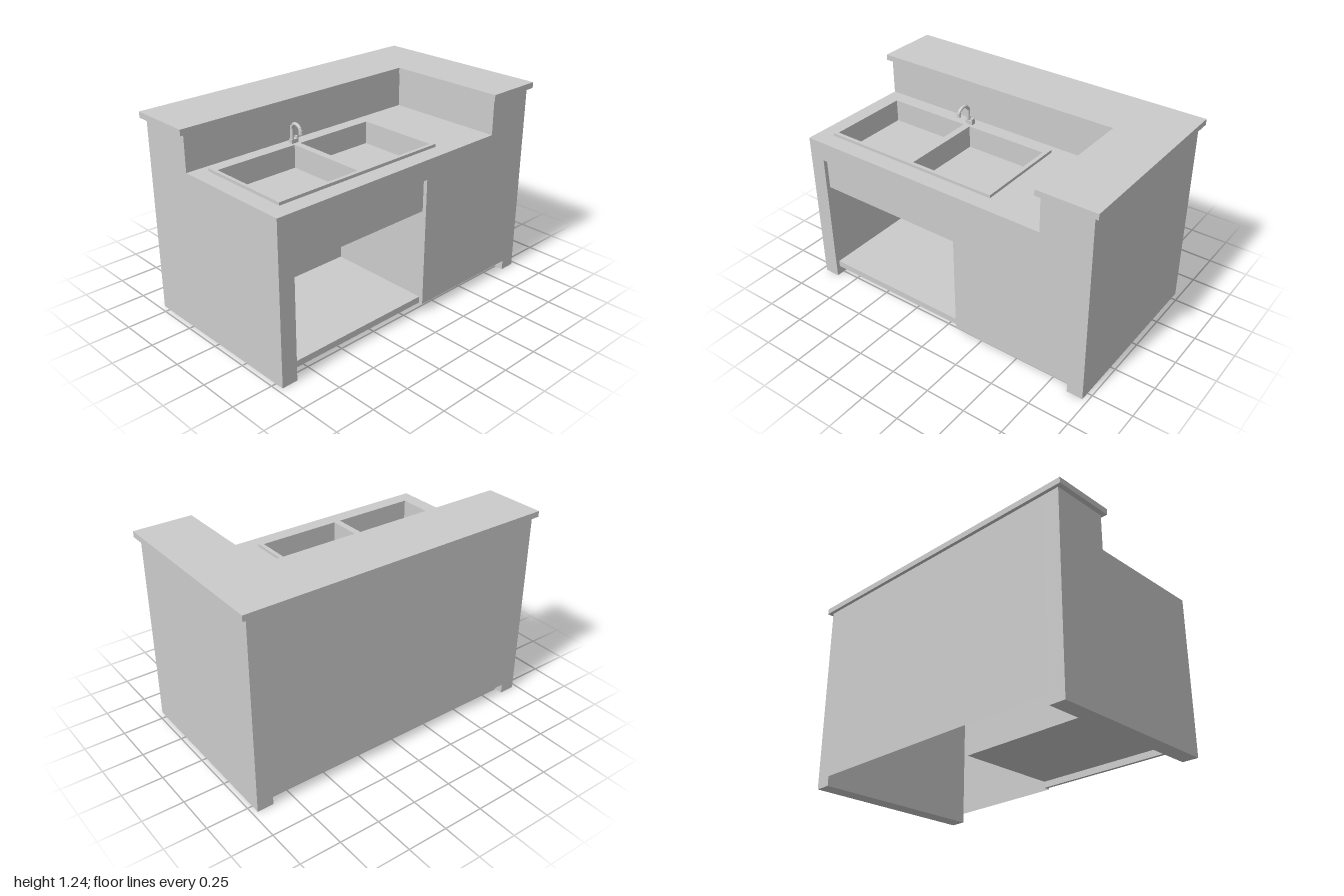
import * as THREE from 'three';

const mat = new THREE.MeshStandardMaterial({ color: 0xcccccc, flatShading: true, side: THREE.DoubleSide });

const outline = (pts) => new THREE.Shape(pts.map(([a, b]) => new THREE.Vector2(a, b)));
const rect = (x0, x1, y0, y1) => outline([[x0, y0], [x1, y0], [x1, y1], [x0, y1]]);
const withHoles = (shape, ...holes) => { shape.holes.push(...holes); return shape; };

export function createModel() {
  const model = new THREE.Group();
  model.name = 'sinkCounter';

  const add = (name, geometry, x = 0, y = 0, z = 0) => {
    const mesh = new THREE.Mesh(geometry, mat);
    mesh.name = name;
    mesh.position.set(x, y, z);
    model.add(mesh);
    return mesh;
  };

  // Box between limits; keep lists its faces (0 +x, 1 -x, 2 +y, 3 -y, 4 +z, 5 -z)
  const box = (name, [x0, x1], [y0, y1], [z0, z1], keep) => {
    const g = new THREE.BoxGeometry(x1 - x0, y1 - y0, z1 - z0);
    if (keep) {
      const all = Array.from(g.index.array);
      g.setIndex(keep.flatMap((f) => all.slice(f * 6, f * 6 + 6)));
      g.clearGroups();
    }
    return add(name, g, (x0 + x1) / 2, (y0 + y1) / 2, (z0 + z1) / 2);
  };

  // Horizontal plate from an (x, z) shape, reaching down from its top
  const plate = (name, shape, top, depth) => {
    const g = depth ? new THREE.ExtrudeGeometry(shape, { depth, bevelEnabled: false }) : new THREE.ShapeGeometry(shape);
    return add(name, g.rotateX(Math.PI / 2), 0, top, 0);
  };

  const W = 0.97, F = 0.555, B = -0.555;  // body half width, front, back
  const LOW = 0.98, HIGH = 1.2;           // worktop and raised bar heights
  const CAB = [-0.87, 0.1];               // open cabinet width

  // Front skin with the cabinet opening, and back skin with the toe notch
  add('frontWall', new THREE.ShapeGeometry(outline([
    [-W, 0], [-0.87, 0], [-0.87, 0.86], [0.1, 0.86], [0.1, 0.06], [0.87, 0.06],
    [0.87, 0], [W, 0], [W, HIGH], [0.66, HIGH], [0.66, LOW], [-W, LOW],
  ])), 0, 0, F);
  add('backWall', new THREE.ShapeGeometry(outline([
    [-W, 0], [-0.87, 0], [-0.87, 0.06], [0.87, 0.06], [0.87, 0], [W, 0], [W, HIGH], [-W, HIGH],
  ])), 0, 0, B);

  // End walls, thick and reaching the floor as feet
  const endWall = (name, pts, x) => add(name,
    new THREE.ExtrudeGeometry(outline(pts), { depth: 0.1, bevelEnabled: false }).rotateY(-Math.PI / 2), x);
  endWall('leftEnd', [[B, 0], [F, 0], [F, HIGH], [B, HIGH]], W);
  endWall('rightEnd', [[B, 0], [F, 0], [F, LOW], [-0.2, LOW], [-0.2, HIGH], [B, HIGH]], -0.87);

  // Worktop, splash walls and the raised L-shaped bar
  plate('worktop', withHoles(rect(-W, 0.66, -0.2, F), rect(-0.86, 0.27, -0.13, 0.44)), LOW);
  box('splashWalls', [-W, 0.66], [LOW, HIGH], [-0.2, F], [0, 5]);
  plate('barTop', outline([
    [-1, -0.576], [1, -0.576], [1, 0.576], [0.637, 0.576], [0.637, -0.182], [-1, -0.182],
  ]), 1.236, 0.036);

  // Cabinet: recessed interior, reveal, drawer front and bottom rail
  box('cabinetInterior', CAB, [0.1, 0.85], [-0.15, 0.53], [0, 1, 2, 3, 5]);
  box('cabinetReveal', CAB, [0.06, 0.86], [0.53, F], [0, 1, 2]);
  box('drawerFront', CAB, [0.66, 0.86], [0.51, 0.53]);
  box('bottomRail', CAB, [0.06, 0.1], [0.51, 0.53]);

  // Double sink: raised rim with two open bowls
  const bowls = [[-0.85, -0.315], [-0.272, 0.252]];
  const zBowl = [-0.085, 0.43];
  plate('sinkRim', withHoles(rect(-0.87, 0.277, -0.14, 0.452),
    ...bowls.map(([a, b]) => rect(a, b, ...zBowl))), 0.998, 0.018);
  bowls.forEach((xs) => box('sinkBowl', xs, [0.858, 0.99], zBowl, [0, 1, 3, 4, 5]));

  // Faucet: base, side lever, post and a bent spout
  box('faucetBase', [-0.316, -0.268], [0.998, 1.022], [-0.132, -0.105]);
  box('faucetLever', [-0.276, -0.268], [1.022, 1.034], [-0.13, -0.107]);
  add('faucetPost', new THREE.CylinderGeometry(0.009, 0.012, 0.09, 8), -0.305, 1.06, -0.118);
  const path = new THREE.CatmullRomCurve3([
    [-0.305, 1.09, -0.118], [-0.306, 1.117, -0.1], [-0.308, 1.121, -0.07], [-0.31, 1.108, -0.045], [-0.311, 1.085, -0.034],
  ].map((p) => new THREE.Vector3(...p)));
  add('faucetSpout', new THREE.TubeGeometry(path, 10, 0.01, 8));
  add('faucetNozzle', new THREE.CylinderGeometry(0.011, 0.014, 0.025, 8), -0.311, 1.085, -0.034);

  return model;
}
